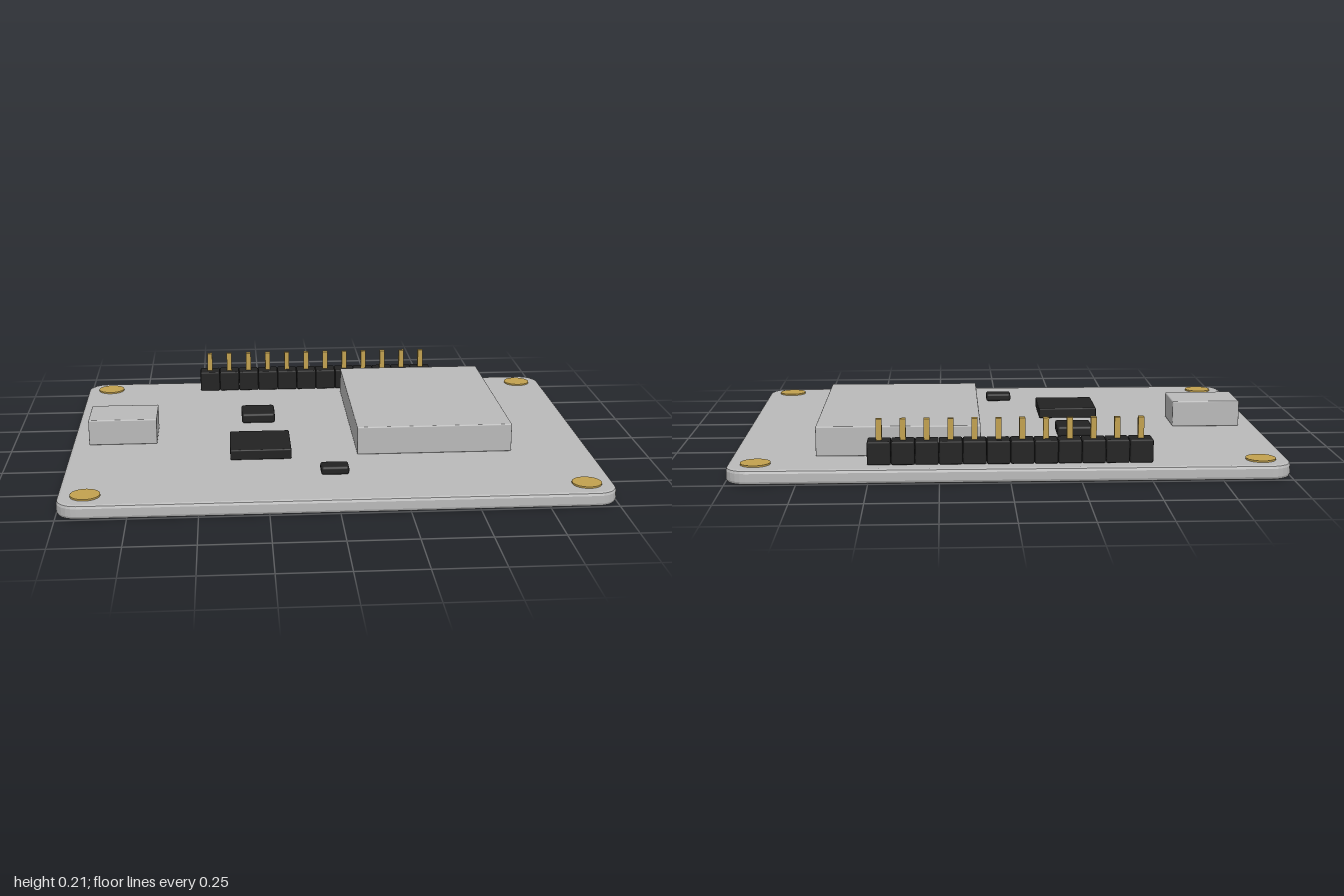
import * as THREE from 'three';
import { RoundedBoxGeometry } from 'three/addons/geometries/RoundedBoxGeometry.js';

export function createModel() {
  const group = new THREE.Group();
  const makeMaterial = (name, color) => {
    const m = new THREE.MeshStandardMaterial({ color });
    m.name = name;
    return m;
  };
  const grey = makeMaterial('light grey', 0xbababa);
  const black = makeMaterial('black', 0x222222);
  const gold = makeMaterial('gold', 0xc2a14f);

  const BOARD_TOP = 0.053;

  const add = (name, geometry, material, x, y, z) => {
    const mesh = new THREE.Mesh(geometry, material);
    mesh.name = name;
    mesh.position.set(x, y, z);
    group.add(mesh);
    return mesh;
  };

  // Softened box given by its extents, standing on the board
  const component = (name, material, x0, x1, z0, z1, top, radius) => {
    const h = top - BOARD_TOP;
    add(name, new RoundedBoxGeometry(x1 - x0, h, z1 - z0, 2, radius), material,
      (x0 + x1) / 2, BOARD_TOP + h / 2, (z0 + z1) / 2);
  };

  // Board: rounded rectangle with a small bevel on both faces
  const bevel = 0.012;
  const w = 1 - bevel, d = 0.75 - bevel, r = 0.065;
  const outline = new THREE.Shape();
  outline.absarc(w - r, d - r, r, 0, Math.PI / 2);
  outline.absarc(-w + r, d - r, r, Math.PI / 2, Math.PI);
  outline.absarc(-w + r, -d + r, r, Math.PI, Math.PI * 1.5);
  outline.absarc(w - r, -d + r, r, Math.PI * 1.5, Math.PI * 2);
  outline.closePath();
  const board = new THREE.ExtrudeGeometry(outline, {
    depth: BOARD_TOP - 2 * bevel, bevelEnabled: true, bevelSize: bevel,
    bevelThickness: bevel, bevelSegments: 2, curveSegments: 3,
  });
  board.rotateX(-Math.PI / 2);
  add('board', board, grey, 0, bevel, 0);

  // Gold pads at the four corners
  const pad = new THREE.CylinderGeometry(0.054, 0.054, 0.006, 24);
  for (const x of [-0.9, 0.9]) {
    for (const z of [-0.65, 0.65]) add('cornerPad', pad, gold, x, BOARD_TOP + 0.003, z);
  }

  // Metal shield and side connector
  component('shieldCan', grey, 0.1, 0.696, -0.548, 0.28, 0.163, 0.005);
  component('sideConnector', grey, -0.933, -0.669, -0.098, 0.098, 0.154, 0.005);

  // Chips
  component('mainChip', black, -0.385, -0.153, 0.08, 0.312, 0.093, 0.005);
  component('middleChip', black, -0.335, -0.2, -0.267, -0.135, 0.093, 0.01);
  component('smallChip', black, -0.053, 0.051, 0.434, 0.502, 0.085, 0.01);

  // Pin header: a row of twelve housings, each with a pin
  const PINS = 12, PITCH = 0.0845, HEADER_Z = -0.65;
  const housing = new RoundedBoxGeometry(0.084, 0.084, 0.082, 1, 0.006);
  const pin = new THREE.BoxGeometry(0.021, 0.15, 0.021);
  for (let i = 0; i < PINS; i++) {
    const x = (i - (PINS - 1) / 2) * PITCH - 0.002;
    add('headerHousing', housing, black, x, BOARD_TOP + 0.042, HEADER_Z);
    add('headerPin', pin, gold, x, 0.138, HEADER_Z);
  }

  return group;
}
